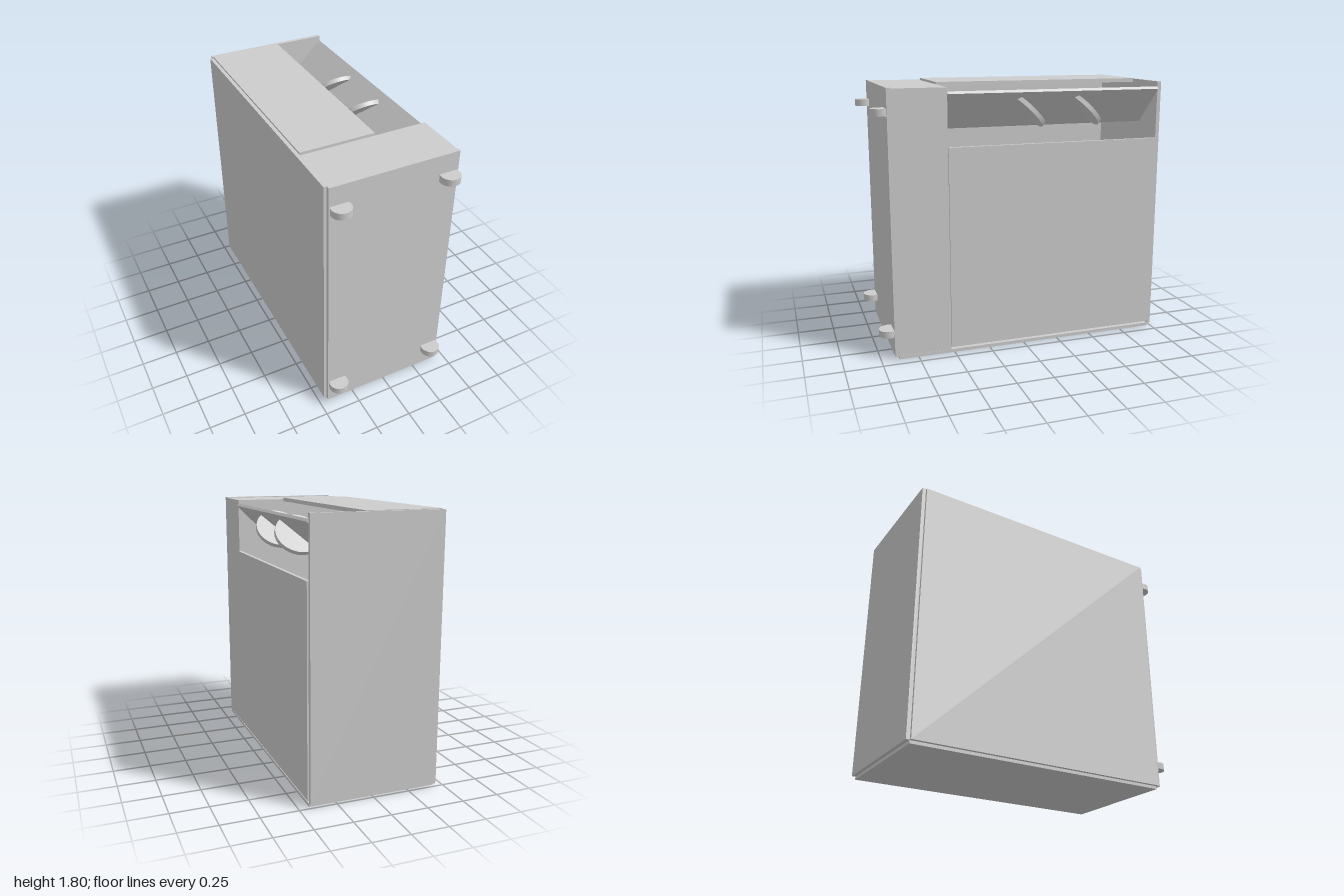
import * as THREE from 'three';

const grey = new THREE.MeshStandardMaterial({ color: 0xcccccc });
grey.name = 'light grey';

function add(parent, name, geometry) {
  const mesh = new THREE.Mesh(geometry, grey);
  mesh.name = name;
  parent.add(mesh);
  return mesh;
}

// box given by its limits on each axis
function slab(parent, name, [x0, x1], [y0, y1], [z0, z1]) {
  const mesh = add(parent, name, new THREE.BoxGeometry(x1 - x0, y1 - y0, z1 - z0));
  mesh.position.set((x0 + x1) / 2, (y0 + y1) / 2, (z0 + z1) / 2);
  return mesh;
}

export function createModel() {
  const model = new THREE.Group();
  model.name = 'cabinet';

  // hollow case: floor, walls and lid
  slab(model, 'floor', [-0.44, 0.43], [0, 0.022], [-0.975, 0.88]);
  slab(model, 'leftWall', [-0.462, -0.437], [0.02, 1.79], [-0.975, 0.88]);
  slab(model, 'backWall', [-0.445, 0.428], [0.02, 1.798], [-1, -0.973]);
  slab(model, 'frontWall', [-0.445, 0.428], [0.02, 1.795], [0.88, 0.908]);
  slab(model, 'rightPanel', [0.413, 0.438], [0.04, 1.408], [-0.972, 0.522]);
  slab(model, 'topPanel', [-0.437, 0.073], [1.775, 1.802], [-0.973, 0.513]);

  // closed compartment behind the front wall
  slab(model, 'frontCompartment', [-0.437, 0.428], [0.022, 1.79], [0.523, 0.88]);

  // sloping shelf inside the open top right edge
  const section = new THREE.Shape([
    [0.187, 1.5], [0.44, 1.748], [0.426, 1.764], [0.172, 1.515],
  ].map(([x, y]) => new THREE.Vector2(x, y)));
  const shelf = add(model, 'slopingShelf',
    new THREE.ExtrudeGeometry(section, { depth: 1.496, bevelEnabled: false }));
  shelf.position.z = -0.973;

  // tilted discs passing through the shelf
  for (const z of [-0.058, -0.466]) {
    const disc = add(model, 'disc', new THREE.CylinderGeometry(0.153, 0.153, 0.03, 48));
    disc.position.set(0.307, 1.622, z);
    disc.rotation.x = -Math.PI / 4;
  }

  // round feet set into the front wall
  for (const x of [-0.378, 0.355]) {
    for (const y of [0.176, 1.642]) {
      const foot = add(model, 'foot', new THREE.CylinderGeometry(0.065, 0.065, 0.046, 32));
      foot.position.set(x, y, 0.935);
    }
  }
  return model;
}
